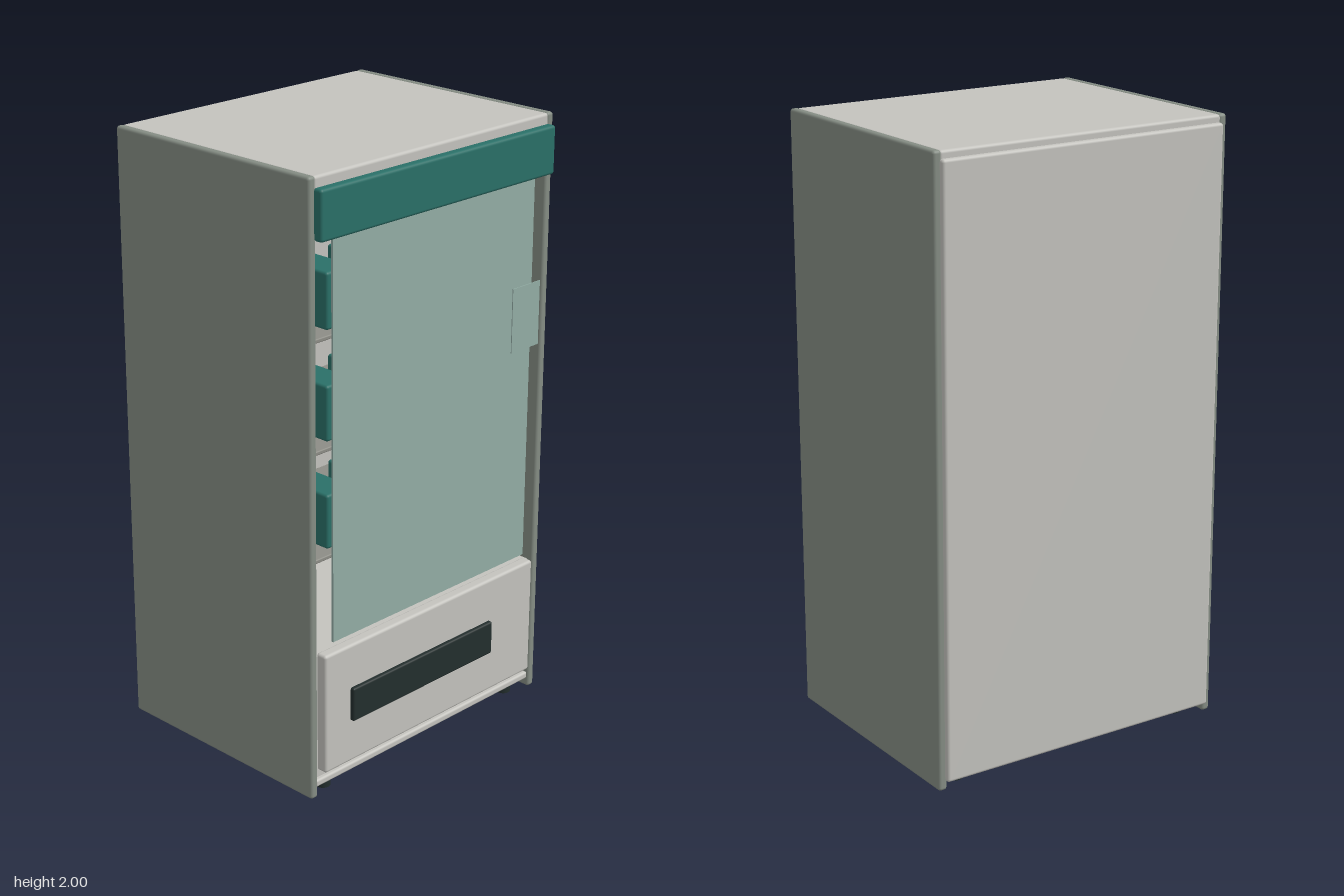
import * as THREE from 'three';
import { RoundedBoxGeometry } from 'three/addons/geometries/RoundedBoxGeometry.js';

const mat = (name, color, side = THREE.FrontSide) => {
  const m = new THREE.MeshStandardMaterial({ color, side });
  m.name = name;
  return m;
};

export function createModel() {
  const group = new THREE.Group();
  group.name = 'vendingMachine';
  const light = mat('lightGrey', 0xc4c3be);
  const green = mat('greenGrey', 0x858d84);
  const liner = mat('linerGrey', 0x8d8d86);
  const teal = mat('teal', 0x2a7068);
  const dark = mat('darkSlot', 0x232e2d);
  const glass = mat('paleGlass', 0x93ada5, THREE.DoubleSide);

  // box given by its limits on each axis, with optional rounded edges
  const box = (name, m, [x0, x1], [y0, y1], [z0, z1], r = 0) => {
    const s = [x1 - x0, y1 - y0, z1 - z0];
    const geo = r ? new RoundedBoxGeometry(...s, 3, r) : new THREE.BoxGeometry(...s);
    const mesh = new THREE.Mesh(geo, m);
    mesh.name = name;
    mesh.position.set((x0 + x1) / 2, (y0 + y1) / 2, (z0 + z1) / 2);
    group.add(mesh);
    return mesh;
  };

  // cabinet shell
  for (const s of [-1, 1]) {
    const span = (a, b) => (s > 0 ? [a, b] : [-b, -a]);
    box('sidePanel', green, span(0.502, 0.532), [0.005, 2], [-0.422, 0.406], 0.01);
    box('innerWall', liner, span(0.455, 0.494), [0.47, 1.96], [-0.4, 0.33]);
  }
  box('topPanel', light, [-0.51, 0.51], [1.955, 1.999], [-0.422, 0.405], 0.01);
  box('backPanel', light, [-0.51, 0.51], [0.035, 1.975], [-0.438, -0.412], 0.01);
  box('basePlate', light, [-0.505, 0.505], [0.035, 0.06], [-0.415, 0.4], 0.008);
  box('lowerCabinet', light, [-0.503, 0.503], [0.055, 0.48], [-0.415, 0.385]);
  box('innerBack', light, [-0.5, 0.5], [0.47, 1.96], [-0.413, -0.39]);

  // front fittings
  box('lowerFrontPanel', light, [-0.485, 0.485], [0.085, 0.492], [0.38, 0.421], 0.01);
  box('deliverySlot', dark, [-0.375, 0.275], [0.23, 0.345], [0.405, 0.435], 0.007);
  box('headerPanel', teal, [-0.511, 0.511], [1.81, 1.966], [0.4, 0.435], 0.01);
  box('glassDoor', glass, [-0.443, 0.443], [0.525, 1.83], [0.406, 0.413]);
  box('paymentPlate', glass, [0.328, 0.456], [1.265, 1.477], [0.433, 0.436]);

  // shelves with rows of goods
  for (const y of [0.635, 1.005, 1.375]) {
    box('shelf', liner, [-0.45, 0.45], [y - 0.007, y + 0.007], [-0.39, 0.14], 0.004);
    for (let i = 0; i < 4; i++) {
      const x = -0.375 + i * 0.21;
      box('goods', teal, [x, x + 0.12 + (i === 3 ? 0.03 : 0)], [y + 0.007, y + 0.195], [-0.1, 0.11], 0.01);
    }
  }

  // feet
  for (const x of [-0.432, 0.432]) {
    for (const z of [-0.355, 0.355]) {
      const foot = new THREE.Mesh(new THREE.CylinderGeometry(0.024, 0.024, 0.05, 20), dark);
      foot.name = 'foot';
      foot.position.set(x, 0.025, z);
      group.add(foot);
    }
  }
  return group;
}
